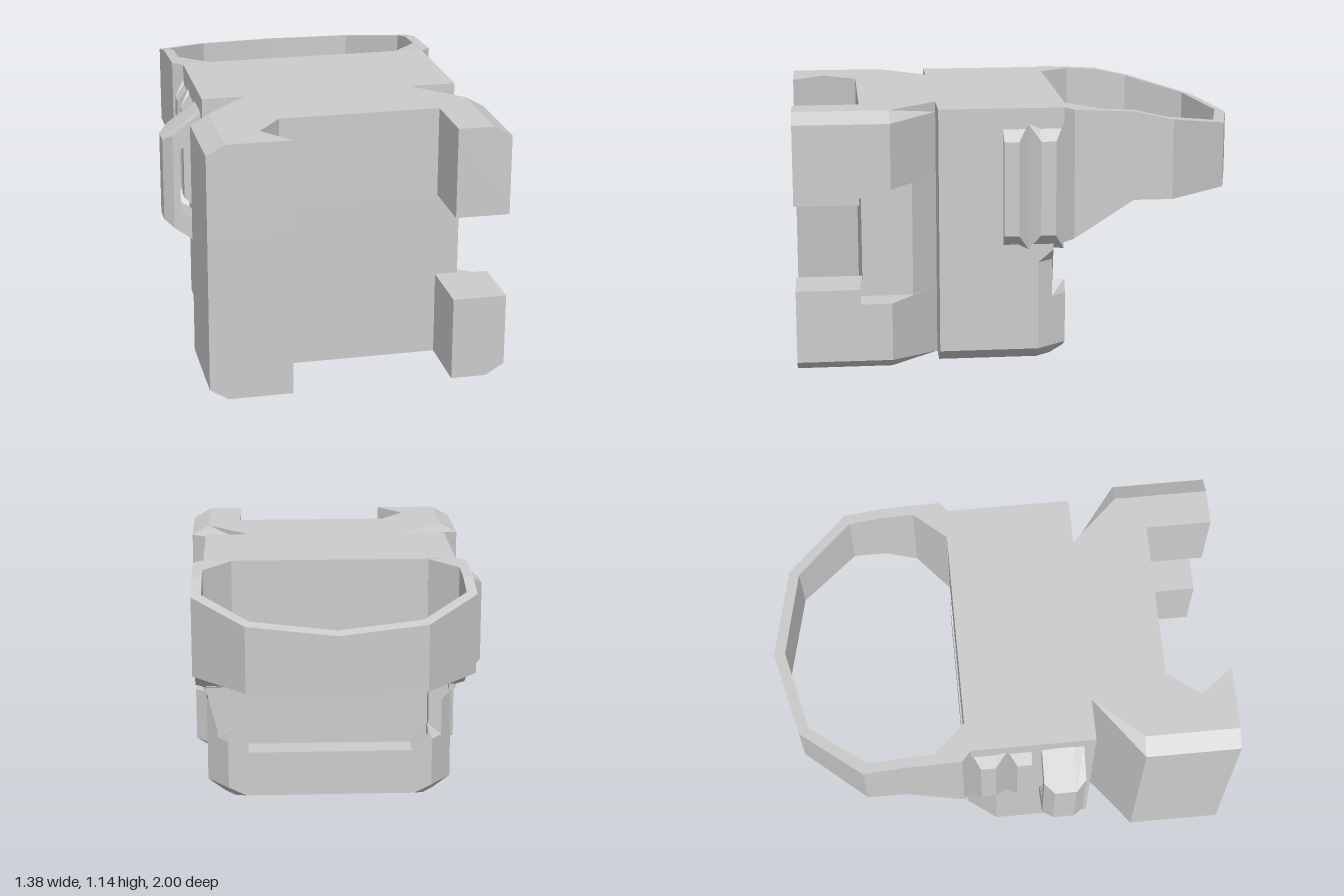
import * as THREE from 'three';

const CX = 0.045; // symmetry plane of housing and hood
const material = new THREE.MeshStandardMaterial({ color: 0xcccccc, flatShading: true, side: THREE.DoubleSide });

function part(name, geometry) {
  const mesh = new THREE.Mesh(geometry, material);
  mesh.name = name;
  return mesh;
}

const shapeOf = (pts) => new THREE.Shape(pts.map(([x, y]) => new THREE.Vector2(x, y)));

// Moves every vertex by a rule and refreshes the flat normals
function bend(geometry, rule) {
  const p = geometry.attributes.position;
  const v = new THREE.Vector3();
  for (let i = 0; i < p.count; i++) {
    rule(v.fromBufferAttribute(p, i));
    p.setXYZ(i, v.x, v.y, v.z);
  }
  geometry.computeVertexNormals();
  return geometry;
}

// Outline in x/y, extruded from zBack to zFront
function slab(pts, zBack, zFront, hole) {
  const shape = shapeOf(pts);
  if (hole) shape.holes.push(shapeOf(hole));
  return new THREE.ExtrudeGeometry(shape, { depth: zFront - zBack, bevelEnabled: false }).translate(0, 0, zBack);
}

// Mirrors a half outline about the symmetry plane; offsets are from CX
const symmetric = (half) => [
  ...half.map(([d, y]) => [CX + d, y]),
  ...half.slice().reverse().map(([d, y]) => [CX - d, y]),
];

// Closed cross-sections joined in sequence with end caps, turned outward
function loft(rings) {
  const n = rings[0].length;
  const tris = [];
  for (let i = 0; i + 1 < rings.length; i++) {
    for (let j = 0; j < n; j++) {
      const k = (j + 1) % n;
      const [a, b, c, d] = [rings[i][j], rings[i][k], rings[i + 1][k], rings[i + 1][j]];
      tris.push([a, b, c], [a, c, d]);
    }
  }
  const last = rings[rings.length - 1];
  for (let j = 1; j + 1 < n; j++) {
    tris.push([rings[0][0], rings[0][j + 1], rings[0][j]], [last[0], last[j], last[j + 1]]);
  }
  let volume = 0;
  for (const [a, b, c] of tris) {
    volume += new THREE.Vector3(...a).dot(new THREE.Vector3(...b).cross(new THREE.Vector3(...c)));
  }
  if (volume < 0) tris.forEach((t) => t.reverse());
  const geometry = new THREE.BufferGeometry();
  geometry.setAttribute('position', new THREE.Float32BufferAttribute(tris.flat(2), 3));
  geometry.computeVertexNormals();
  return geometry;
}

// Rail clamp, stacked in bands of constant plan
function createClamp() {
  const group = new THREE.Group();
  group.name = 'railClamp';
  const left = [[-0.34, 0.375], [-0.61, 0.585], [-0.61, 1], [-0.25, 1], [-0.36, 0.855], [-0.25, 0.71], [0.45, 0.71]];
  const full = [[0.45, 1], [0.685, 1], [0.685, 0.585], [0.41, 0.375]];
  const notched = [[0.45, 1], [0.685, 1], [0.685, 0.72], [0.55, 0.72], [0.55, 0.488], [0.41, 0.375]];
  const open = [[0.55, 0.71], [0.55, 0.488], [0.41, 0.375]];
  const bands = [
    [0, 0.05, full], [0.05, 0.305, full], [0.305, 0.37, notched], [0.37, 0.745, open],
    [0.745, 0.81, notched], [0.81, 1.095, full], [1.095, 1.14, full],
  ];
  for (const [y0, y1, right] of bands) {
    const shape = shapeOf([...left, ...right].map(([x, z]) => [x, -z]));
    const geometry = new THREE.ExtrudeGeometry(shape, { depth: y1 - y0, bevelEnabled: false })
      .rotateX(-Math.PI / 2).translate(0, y0, 0);
    bend(geometry, (v) => { // chamfer along the top and bottom outer edges
      if (v.y < 0.001 || v.y > 1.139) {
        if (v.x > 0.68) v.x = 0.605;
        if (v.x < -0.6) v.x = -0.53;
      }
    });
    group.add(part('clampBand', geometry));
  }
  return group;
}

function createHousing() {
  const group = new THREE.Group();
  group.name = 'housing';
  group.add(part('housingCore', slab(symmetric([[0.49, 0], [0.57, 0.06], [0.57, 1.14]]), -0.06, 0.375)));

  // Rear corners of the lower half narrow toward the back
  const narrow = (v) => {
    if (v.y < 0.5 && Math.abs(v.x - CX) > 0.48) v.x += Math.sign(CX - v.x) * 0.75 * (-0.06 - v.z);
    if (v.y < 0.01 && v.z < -0.18) v.y = 0.02;
  };
  const pocket = symmetric([[0.38, 0.23], [0.46, 0.31], [0.46, 0.53], [0.37, 0.62]]);
  const frame = symmetric([[0.49, 0], [0.57, 0.06], [0.57, 0.455], [0.57, 0.51], [0.57, 1.14]]);
  group.add(part('pocketFrame', bend(slab(frame, -0.125, -0.06, pocket), narrow)));
  const ledge = symmetric([[0.49, 0], [0.57, 0.06], [0.57, 0.285], [0.45, 0.345], [0.45, 0.3], [0.38, 0.23]]);
  group.add(part('rearLedge', bend(slab(ledge, -0.19, -0.125), narrow)));
  const wall = symmetric([[0.57, 1.14], [0.57, 0.55], [0.46, 0.55], [0.37, 0.62]]);
  group.add(part('rearWall', slab(wall, -0.187, -0.125)));
  return group;
}

// Hood ring behind the housing: plan points as outer and inner pairs
function createHood() {
  const top = (z) => (z > -0.47 ? 1.14 + 0.05 * Math.min(0, z + 0.17) : 1.125 + 0.226 * (z + 0.47));
  const bottom = (z) => (z > -0.47 ? 0.735 - 0.643 * (z + 0.47) : 0.735);
  const half = [
    [0.57, -0.17, 0.445, -0.17], [0.615, -0.21, 0.445, -0.19], [0.615, -0.33, 0.57, -0.33],
    [0.615, -0.47, 0.57, -0.47], [0.615, -0.64, 0.57, -0.62], [0.385, -0.91, 0.365, -0.865],
  ];
  const mirrored = half.slice().reverse().map(([a, b, c, d]) => [-a, b, -c, d]);
  const rings = [...half, [0, -1, 0, -0.95], ...mirrored].map(([ox, oz, ix, iz]) => [
    [CX + ox, bottom(oz), oz], [CX + ox, top(oz), oz],
    [CX + ix, top(iz), iz], [CX + ix, bottom(iz), iz],
  ]);
  return part('hood', loft(rings));
}

// Pair of grip ribs on one side
function createRibs(side) {
  const rows = [[0.095, 1], [0.03, 1], [-0.015, 0], [-0.065, 1], [-0.13, 1], [-0.17, 0]];
  const rings = rows.map(([z, h]) => [
    [CX + side * 0.55, 0.515, z], [CX + side * (0.57 + 0.045 * h), 0.515 + 0.07 * h, z],
    [CX + side * (0.57 + 0.045 * h), 1.07 - 0.07 * h, z], [CX + side * 0.55, 1.07, z],
  ]);
  return part('gripRibs', loft(rings));
}

// Bevelled side loop: each row gives the inner, middle and outer point
function createLoop() {
  const half = [
    [[-0.515, 0.53], [-0.515, 0.43], [-0.515, 0.42]],
    [[-0.62, 0.6], [-0.65, 0.53], [-0.69, 0.56]],
  ];
  const mirrored = half.slice().reverse().map((row) => row.map(([x, y]) => [x, 1.495 - y]));
  const rings = [...half, ...mirrored].map(([i, m, o]) => [
    [...i, 0.14], [...m, 0.14], [...o, 0.185], [...o, 0.28], [...m, 0.325], [...i, 0.325],
  ]);
  return part('sideLoop', loft(rings));
}

export function createModel() {
  const model = new THREE.Group();
  model.name = 'sight';
  model.add(createClamp(), createHousing(), createHood(), createLoop(), createRibs(1), createRibs(-1));
  return model;
}
